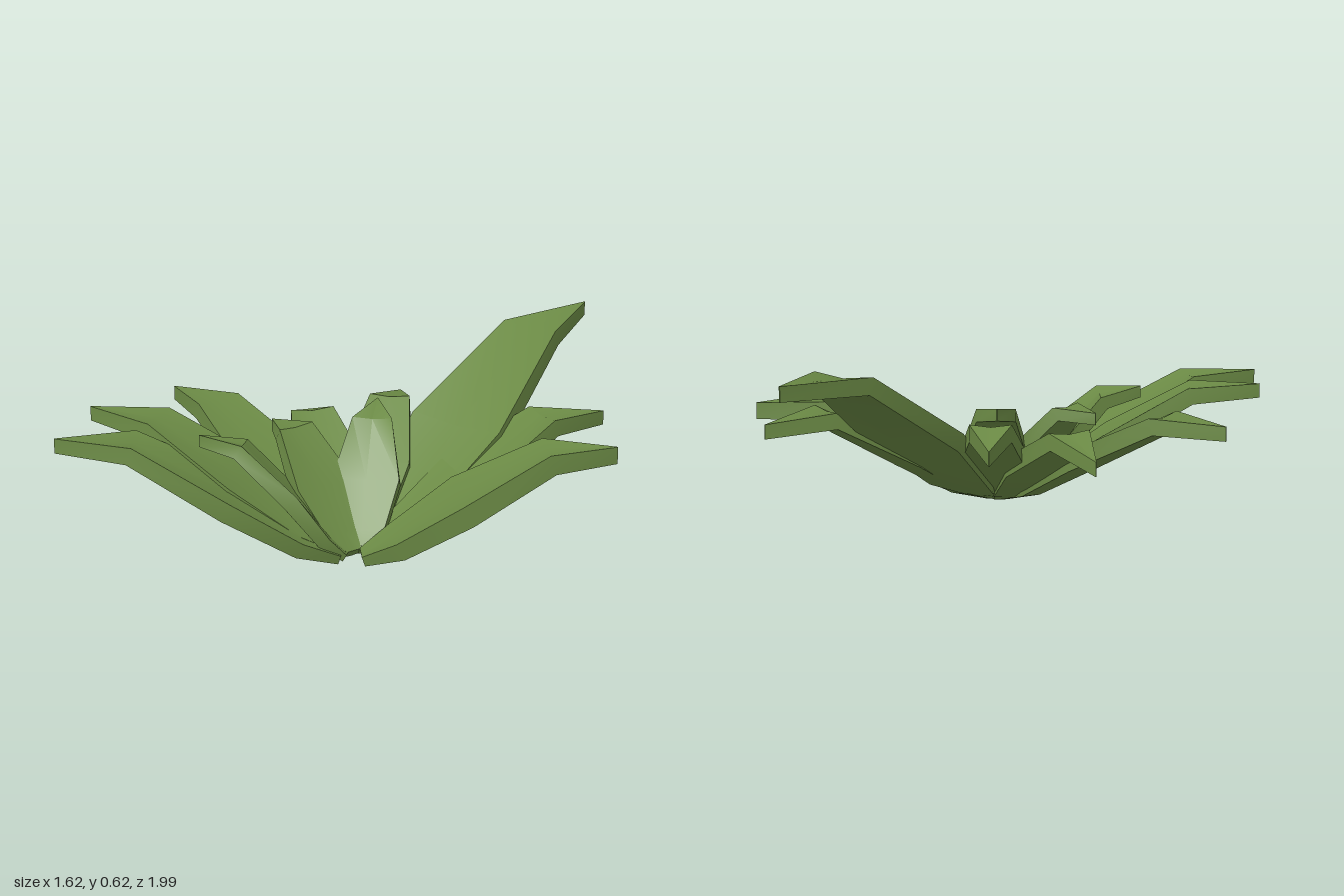
import * as THREE from 'three';
import { toCreasedNormals } from 'three/addons/utils/BufferGeometryUtils.js';

const green = new THREE.MeshStandardMaterial({ color: 0x6b8a45 });

// Stations along a leaf: distance, height (share of bend height), width share, thickness share
const STATIONS = [
  [0, 0, 0.28, 0.5],
  [0.15, 0.13, 0.68, 0.9],
  [0.41, 0.53, 1, 1.1],
  [0.74, 1, 0.6, 1],
  [1, 1, 0.01, 0.85],
];

// Thick pointed leaf lofted through six-sided cross-sections
function leafGeometry({ base, tip, bend, end, width, thick = 0.06, roll = 0 }) {
  const start = new THREE.Vector3(base[0], 0.015, base[1]);
  const run = new THREE.Vector3(tip[0] - base[0], 0, tip[1] - base[1]);
  const dir = run.clone().normalize();
  const up = new THREE.Vector3(0, 1, 0);
  const centres = STATIONS.map(([t, h], i) => {
    const p = start.clone().addScaledVector(run, t);
    p.y = i === 4 ? end : start.y + h * (bend - start.y);
    return p;
  });

  const points = [];
  STATIONS.forEach(([, , w, th], i) => {
    const slope = centres[Math.min(i + 1, 4)].clone().sub(centres[Math.max(i - 1, 0)]).normalize();
    if (i === 4) slope.copy(dir);
    const side = new THREE.Vector3().crossVectors(dir, up).applyAxisAngle(slope, roll * w);
    const normal = new THREE.Vector3().crossVectors(side, slope).normalize();
    const half = (width * w) / 2;
    const cup = half * 0.12;
    const t = thick * th;
    const section = [[-half, t], [0, t - cup], [half, t], [half, 0], [0, -cup], [-half, 0]];
    for (const [s, n] of section) {
      const p = centres[i].clone().addScaledVector(side, s).addScaledVector(normal, n);
      points.push(p.x, Math.max(p.y, 0), p.z);
    }
  });

  const index = [];
  for (let i = 0; i < 4; i++) {
    for (let k = 0; k < 6; k++) {
      const a = i * 6 + k, b = i * 6 + ((k + 1) % 6);
      index.push(a, b, a + 6, b, b + 6, a + 6);
    }
  }
  // End caps
  for (let k = 1; k < 5; k++) index.push(0, k + 1, k, 24, 24 + k, 25 + k);

  const geo = new THREE.BufferGeometry();
  geo.setAttribute('position', new THREE.Float32BufferAttribute(points, 3));
  geo.setIndex(index);
  return toCreasedNormals(geo, 0.6);
}

// base and tip are [x, z]; bend and end are underside heights
const LEAVES = [
  { name: 'tallBackLeaf', base: [0.17, 0.28], tip: [0.16, -1.0], bend: 0.555, end: 0.575, width: 0.38 },
  { name: 'backLeftLeaf', base: [0.19, 0.28], tip: [0.55, -0.56], bend: 0.36, end: 0.34, width: 0.29 },
  { name: 'leftLeaf', base: [0.21, 0.34], tip: [0.81, -0.26], bend: 0.335, end: 0.335, width: 0.3, thick: 0.07 },
  { name: 'backRightLeaf', base: [0.14, 0.28], tip: [-0.23, -0.39], bend: 0.34, end: 0.3, width: 0.24 },
  { name: 'lowRightLeaf', base: [0.11, 0.29], tip: [-0.48, -0.11], bend: 0.3, end: 0.24, width: 0.26 },
  { name: 'rightLeaf', base: [0.1, 0.31], tip: [-0.81, 0.2], bend: 0.345, end: 0.34, width: 0.3 },
  { name: 'frontRightLeaf', base: [0.11, 0.35], tip: [-0.72, 0.69], bend: 0.39, end: 0.405, width: 0.31 },
  { name: 'frontLeaf', base: [0.13, 0.38], tip: [-0.57, 0.99], bend: 0.39, end: 0.4, width: 0.31 },
  { name: 'innerFrontLeaf', base: [0.14, 0.36], tip: [-0.29, 0.6], bend: 0.36, end: 0.38, width: 0.23, thick: 0.05, roll: 0.3 },
  { name: 'innerRightLeaf', base: [0.14, 0.32], tip: [-0.3, 0.23], bend: 0.35, end: 0.34, width: 0.23, thick: 0.05 },
  { name: 'innerBackLeaf', base: [0.15, 0.29], tip: [-0.08, -0.08], bend: 0.36, end: 0.385, width: 0.23, thick: 0.05 },
];

export function createModel() {
  const plant = new THREE.Group();
  plant.name = 'leafRosette';
  for (const leaf of LEAVES) {
    const mesh = new THREE.Mesh(leafGeometry(leaf), green);
    mesh.name = leaf.name;
    plant.add(mesh);
  }
  return plant;
}
